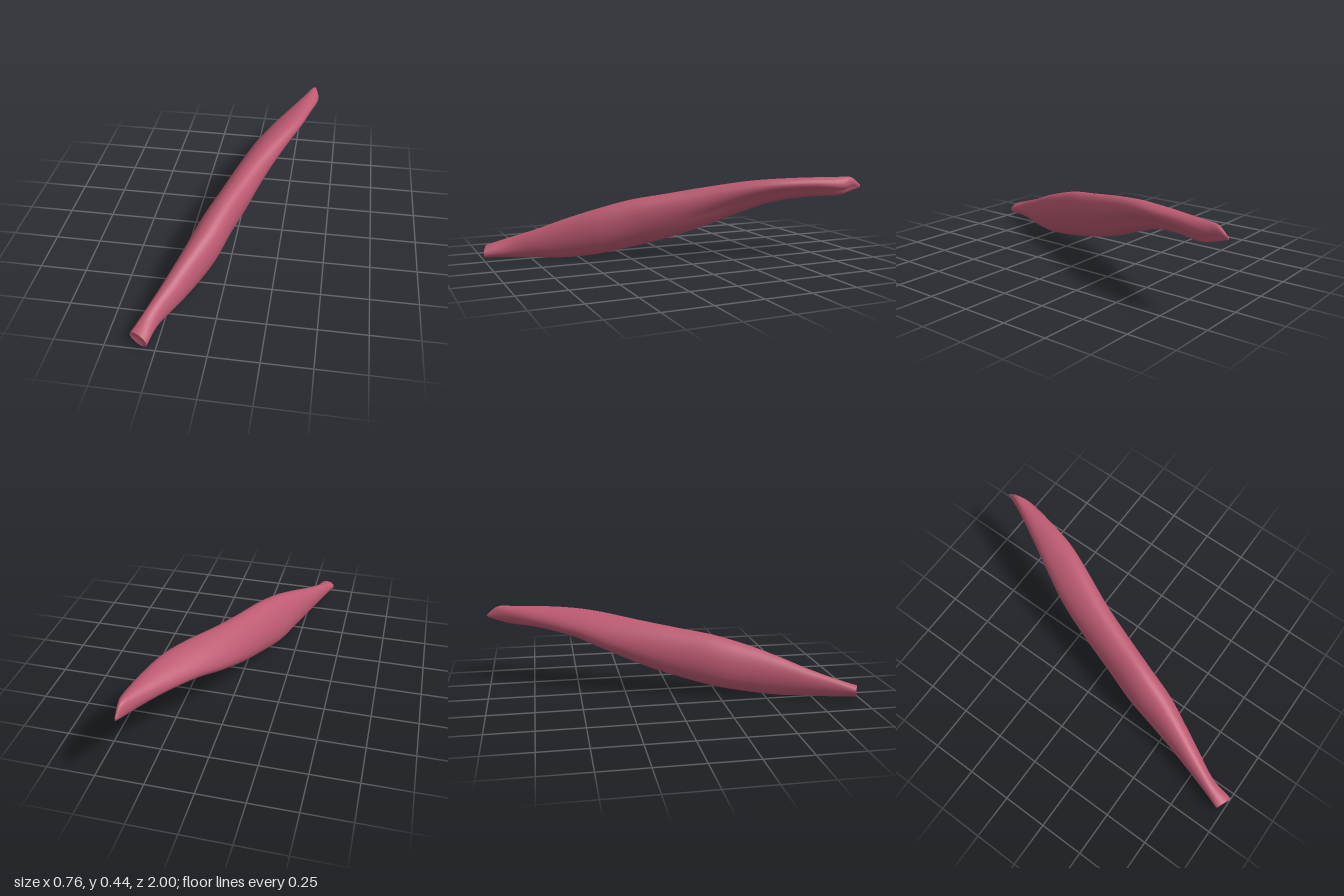
import * as THREE from 'three';

// Cross-sections from the low front end to the raised back tip:
// z, xMin, xMax, yMin, yMax, lean (radians), groove depth on the +x side
const STATIONS = [
  [0.98, -0.38, -0.288, 0.013, 0.078, -0.3, 0],
  [0.86, -0.345, -0.26, 0.01, 0.115, -0.1, 0],
  [0.72, -0.302, -0.19, 0.006, 0.162, 0, 0],
  [0.58, -0.262, -0.12, 0.003, 0.217, 0.1, 0],
  [0.42, -0.222, -0.046, 0.015, 0.272, 0.2, 0],
  [0.24, -0.18, 0.01, 0.045, 0.322, 0.3, 0],
  [0.05, -0.118, 0.075, 0.09, 0.354, 0.3, 0.04],
  [-0.15, -0.055, 0.147, 0.152, 0.388, 0.35, 0.12],
  [-0.36, 0.02, 0.238, 0.235, 0.422, 0.45, 0.16],
  [-0.52, 0.1, 0.302, 0.295, 0.436, 0.45, 0.16],
  [-0.7, 0.2, 0.348, 0.328, 0.441, 0.3, 0.16],
  [-0.86, 0.287, 0.38, 0.338, 0.441, 0.0, 0.2],
  [-0.94, 0.325, 0.367, 0.358, 0.438, 0.1, 0.2],
  [-1.0, 0.35, 0.358, 0.378, 0.392, 0, 0],
];
const SIDES = 40;
const STEPS = 78;

// Leaning ellipse with a soft groove along its lower right side
function sectionPoint([z, x0, x1, y0, y1, lean, groove], t, first) {
  const d = Math.atan2(Math.sin(t + 0.55), Math.cos(t + 0.55));
  const k = 1 - groove * Math.exp(-d * d * 7);
  return new THREE.Vector3(
    (x0 + x1) / 2 + k * (x1 - x0) / 2 * Math.cos(t),
    (y0 + y1) / 2 + k * (y1 - y0) / 2 * Math.sin(t + lean),
    z + (first ? 0.02 * Math.cos(t) : 0)
  );
}

// One smooth lengthwise fibre line for each angle around the body
function makeFibres() {
  const fibres = [];
  for (let j = 0; j < SIDES; j++) {
    const t = (j / SIDES) * Math.PI * 2;
    const points = STATIONS.map((s, i) => sectionPoint(s, t, i === 0));
    fibres.push(new THREE.CatmullRomCurve3(points, false, 'catmullrom', 0.5));
  }
  return fibres;
}

function buildGeometry(positions, indices) {
  const g = new THREE.BufferGeometry();
  g.setAttribute('position', new THREE.Float32BufferAttribute(positions, 3));
  g.setIndex(indices);
  g.computeVertexNormals();
  return g;
}

// Long tapering belly
function bodyGeometry(fibres) {
  const pos = [], idx = [];
  for (let i = 0; i <= STEPS; i++) {
    for (const f of fibres) pos.push(...f.getPoint(i / STEPS).toArray());
  }
  for (let i = 0; i < STEPS; i++) {
    for (let j = 0; j < SIDES; j++) {
      const k = (j + 1) % SIDES;
      const a = i * SIDES + j, b = i * SIDES + k;
      idx.push(a, a + SIDES, b, b, a + SIDES, b + SIDES);
    }
  }
  return buildGeometry(pos, idx);
}

// End face fanned from a centre point
function capGeometry(fibres, u, dent) {
  const ring = fibres.map((f) => f.getPoint(u));
  const centre = new THREE.Vector3();
  ring.forEach((p) => centre.addScaledVector(p, 1 / SIDES));
  centre.z += dent;
  const pos = [...centre.toArray(), ...ring.flatMap((p) => p.toArray())];
  const idx = [];
  for (let j = 0; j < SIDES; j++) {
    const a = 1 + j, b = 1 + (j + 1) % SIDES;
    if (u === 0) idx.push(0, a, b);
    else idx.push(0, b, a);
  }
  return buildGeometry(pos, idx);
}

export function createModel() {
  const group = new THREE.Group();
  group.name = 'muscle';
  const flesh = new THREE.MeshStandardMaterial({ color: 0xbd5a72 });
  flesh.name = 'muscle red';

  const fibres = makeFibres();
  const add = (name, geometry) => {
    const mesh = new THREE.Mesh(geometry, flesh);
    mesh.name = name;
    group.add(mesh);
  };
  add('muscleBelly', bodyGeometry(fibres));
  add('frontEnd', capGeometry(fibres, 0, -0.015));
  add('backTip', capGeometry(fibres, 1, 0));
  return group;
}
